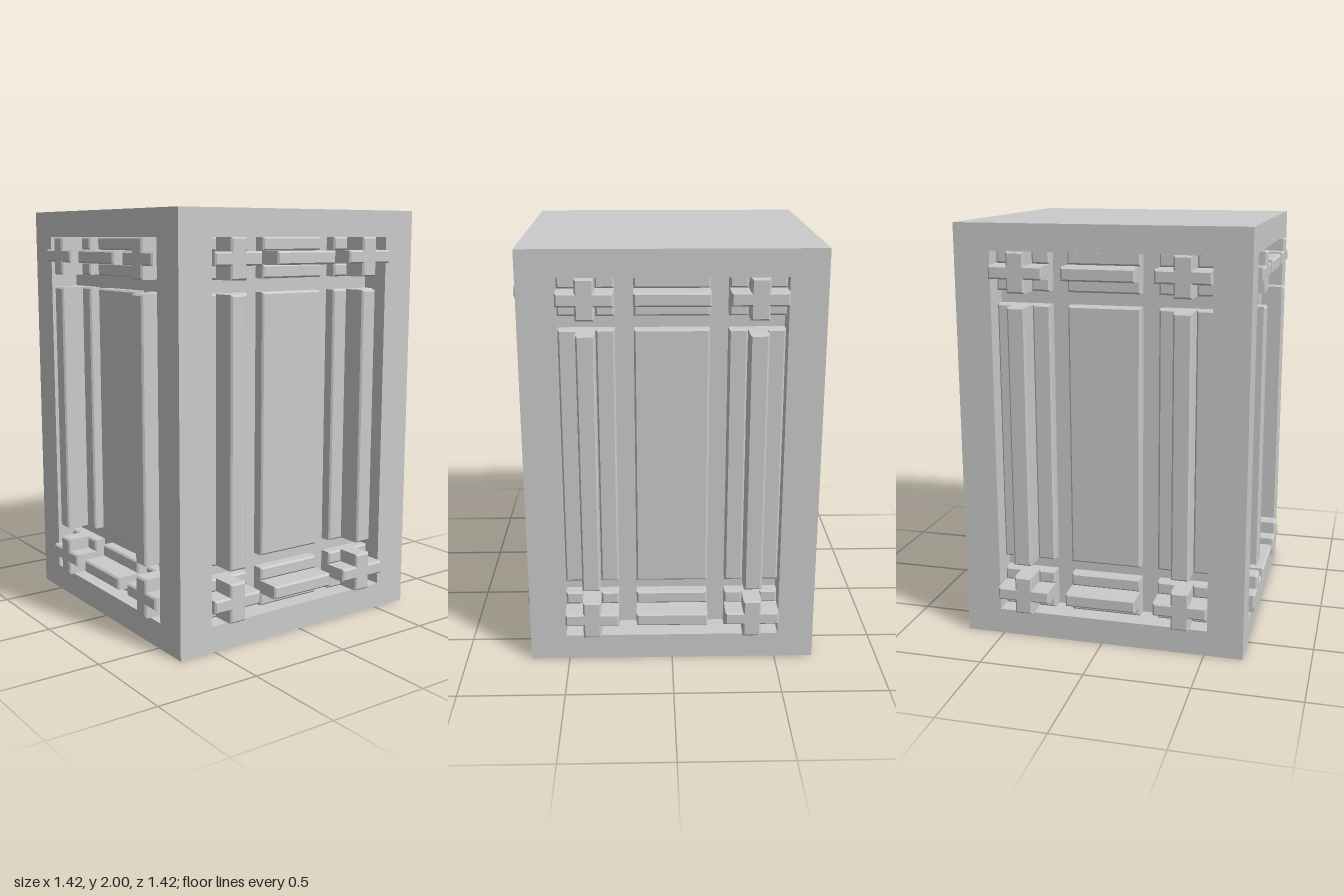
import * as THREE from 'three';

const HALF = 0.685, HEIGHT = 2;
const CW = HALF / 8, RH = HEIGHT / 32;        // grid cell width and height
const BACK = 0.545, LOW = 0.61, HIGH = 0.72;  // recess floor, inset trim, raised trim
const BEVEL = 0.008;

const material = new THREE.MeshStandardMaterial({ color: 0xcccccc, flatShading: true });
const gx = c => (c - 8) * CW;
const gy = r => r * RH;

function box(name, w, h, d, x, y, z) {
  const m = new THREE.Mesh(new THREE.BoxGeometry(w, h, d), material);
  m.name = name;
  m.position.set(x, y, z);
  return m;
}

// Chamfered slab from grid corner points, rising from the recess floor to z = top
function slab(name, cells, top) {
  const shape = new THREE.Shape(cells.map(([c, r]) => new THREE.Vector2(gx(c), gy(r))));
  const geo = new THREE.ExtrudeGeometry(shape, {
    depth: top - BACK, bevelEnabled: true, bevelSegments: 1,
    bevelSize: BEVEL, bevelThickness: BEVEL, bevelOffset: -BEVEL,
  });
  geo.translate(0, 0, BACK - BEVEL);
  geo.scale(1, 1, 1);
  const m = new THREE.Mesh(geo, material);
  m.name = name;
  m.position.z = -BEVEL;
  return m;
}

const rect = (c0, r0, c1, r1) => [[c0, r0], [c1, r0], [c1, r1], [c0, r1]];

// Plus shape filling a 3 x 3 block of cells
const plus = (c, r) => [
  [1, 0], [2, 0], [2, 1], [3, 1], [3, 2], [2, 2],
  [2, 3], [1, 3], [1, 2], [0, 2], [0, 1], [1, 1],
].map(([x, y]) => [c + x, r + y]);

// All trim on one side of the block
function createSide() {
  const side = new THREE.Group();
  side.name = 'sidePanel';
  side.add(slab('centrePanel', rect(6, 6, 10, 26), LOW));

  // Triple bars, the middle one raised
  for (let i = 0; i < 3; i++) {
    const top = i === 1 ? HIGH : LOW;
    for (const c of [2, 11]) side.add(slab('verticalBar', rect(c + i, 6, c + i + 1, 26), top));
    for (const r of [2, 27]) side.add(slab('horizontalBar', rect(6, r + i, 10, r + i + 1), top));
  }

  // Raised crosses with inset studs between their arms
  for (const c of [2, 11]) {
    for (const r of [2, 27]) {
      side.add(slab('cornerCross', plus(c, r), HIGH));
      for (const i of [0, 2]) {
        for (const j of [0, 2]) {
          side.add(slab('cornerStud', rect(c + i, r + j, c + i + 1, r + j + 1), LOW));
        }
      }
    }
  }
  return side;
}

export function createModel() {
  const model = new THREE.Group();
  model.name = 'panelledBlock';

  // Core, caps and corner posts
  const cap = 2 * RH, post = 2 * CW, p = HALF - post / 2;
  const mid = HEIGHT - 2 * cap;
  model.add(box('core', BACK * 2, mid, BACK * 2, 0, 1, 0));
  model.add(box('bottomCap', HALF * 2, cap, HALF * 2, 0, cap / 2, 0));
  model.add(box('topCap', HALF * 2, cap, HALF * 2, 0, HEIGHT - cap / 2, 0));
  for (const x of [-p, p]) {
    for (const z of [-p, p]) model.add(box('cornerPost', post, mid, post, x, 1, z));
  }

  // The same trim on all four sides
  for (let i = 0; i < 4; i++) {
    const side = createSide();
    side.rotation.y = i * Math.PI / 2;
    model.add(side);
  }
  return model;
}
